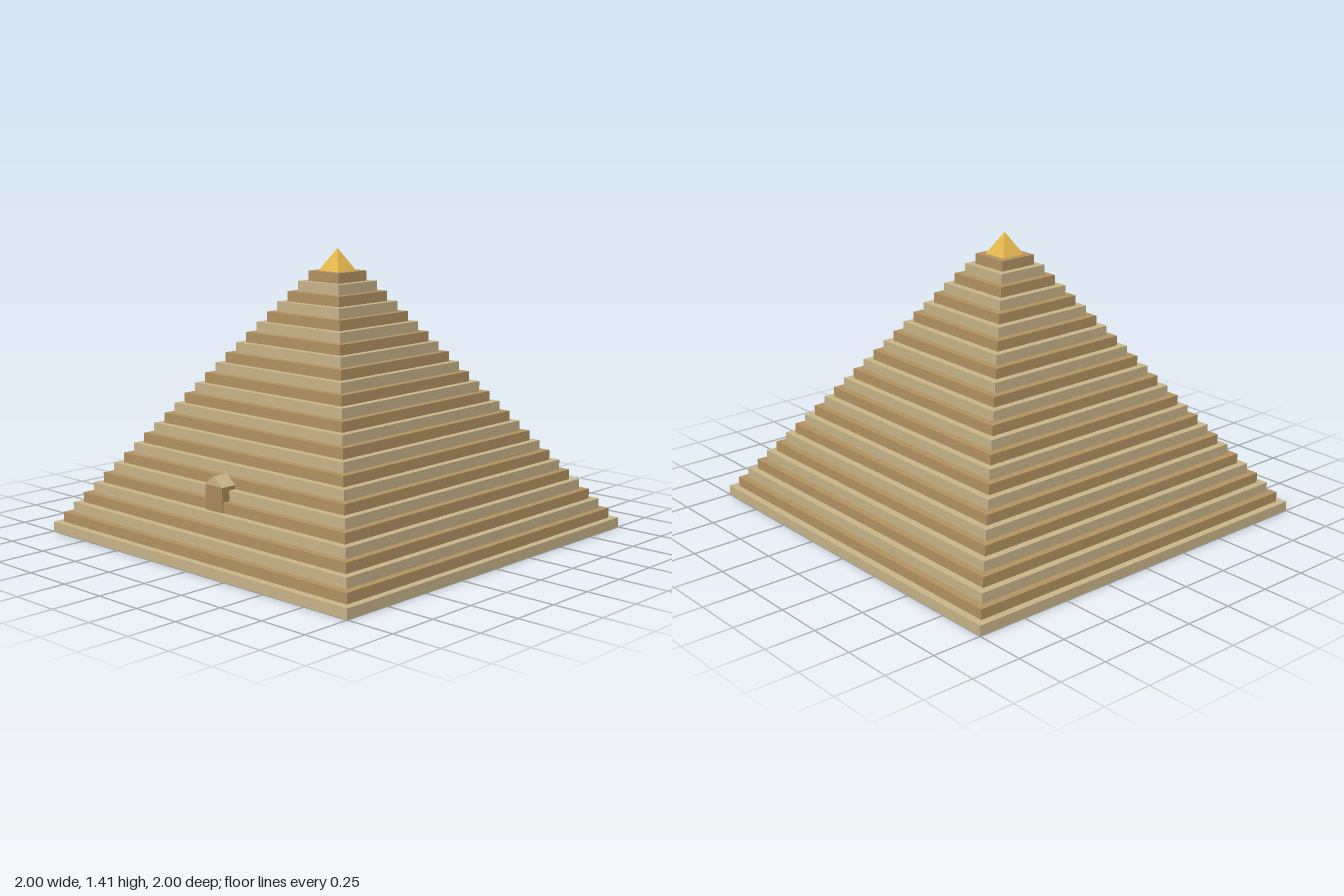
import * as THREE from 'three';

const paint = (color) => new THREE.MeshStandardMaterial({ color, flatShading: true });

export function createModel() {
  const model = new THREE.Group();
  const lightStone = paint(0xc8b488);
  const darkStone = paint(0xb39262);
  const gold = paint(0xe6b84e);
  const doorStone = paint(0xac8a5e);

  const add = (name, geometry, material, x, y, z) => {
    const mesh = new THREE.Mesh(geometry, material);
    mesh.name = name;
    mesh.position.set(x, y, z);
    model.add(mesh);
    return mesh;
  };

  // Stepped courses of alternating stone
  const courses = 26;
  const height = 0.05;
  for (let i = 0; i < courses; i++) {
    const width = 2 - i * 0.072;
    add(`course${i + 1}`, new THREE.BoxGeometry(width, height, width),
      i % 2 ? darkStone : lightStone, 0, (i + 0.5) * height, 0);
  }

  // Golden four-sided capstone
  const cap = new THREE.ConeGeometry(0.065 * Math.SQRT2, 0.11, 4);
  cap.rotateY(Math.PI / 4);
  add('capstone', cap, gold, 0, courses * height + 0.055, 0);

  // Entrance block on the front slope
  add('entrance', new THREE.BoxGeometry(0.114, 0.12, 0.085), doorStone, 0, 0.31, 0.785);

  // Gabled roof over the entrance
  const gable = new THREE.Shape([
    new THREE.Vector2(-0.06, 0),
    new THREE.Vector2(0.06, 0),
    new THREE.Vector2(0, 0.045),
  ]);
  const roof = new THREE.ExtrudeGeometry(gable, { depth: 0.085, bevelEnabled: false });
  add('entranceRoof', roof, lightStone, 0, 0.37, 0.744);

  return model;
}
